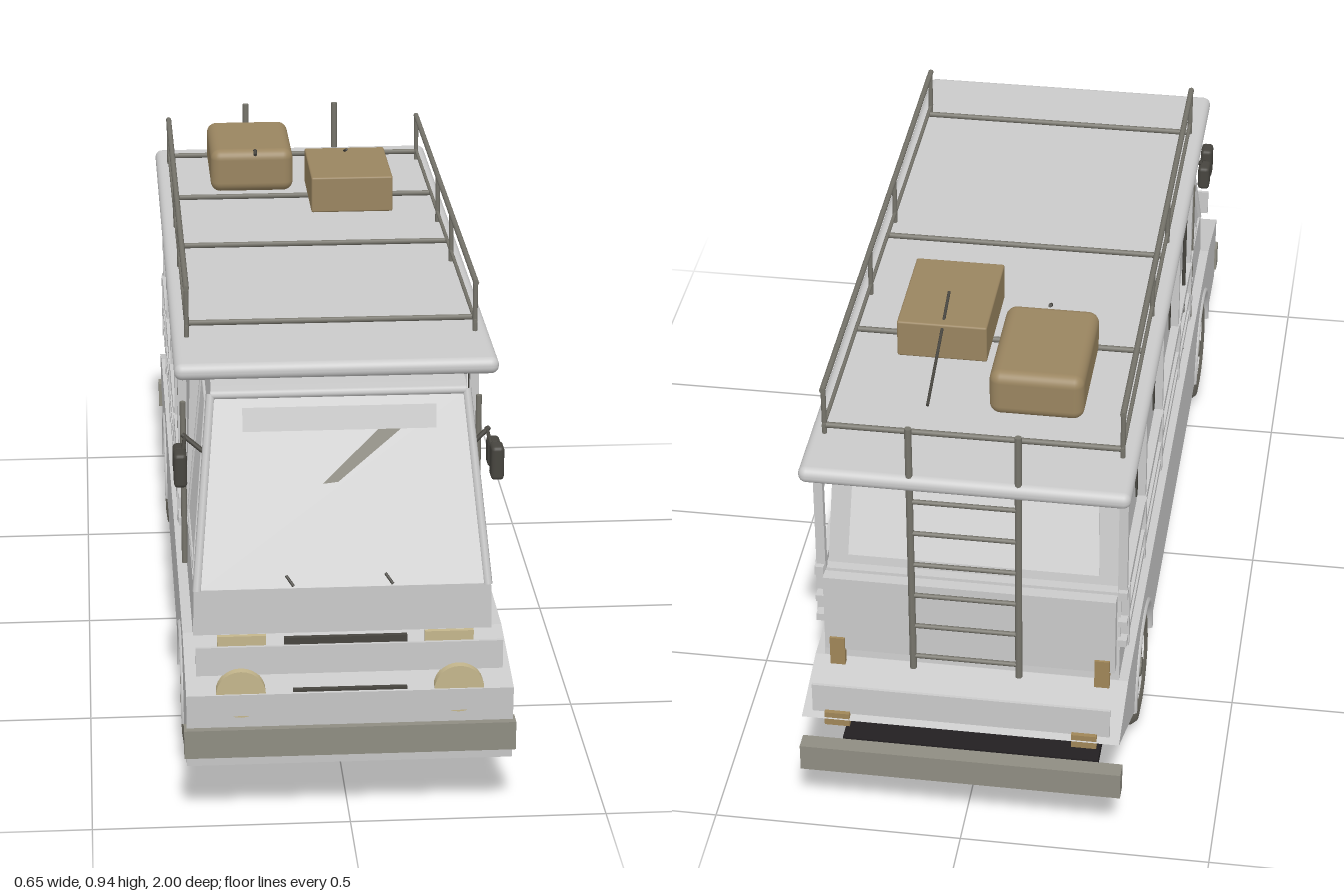
import * as THREE from 'three';
import { RoundedBoxGeometry } from 'three/addons/geometries/RoundedBoxGeometry.js';

const mat = (name, color, side = THREE.FrontSide) => {
  const m = new THREE.MeshStandardMaterial({ color, side });
  m.name = name;
  return m;
};

export function createModel() {
  const body = mat('bodyGrey', 0xcacaca), glass = mat('paleGlass', 0xdcdcdc);
  const trim = mat('bumperOlive', 0x8f8d82), metal = mat('rackMetal', 0x77756c);
  const tyre = mat('tyreGrey', 0x77746a), dark = mat('darkTrim', 0x47453f);
  const black = mat('underside', 0x232022), tan = mat('luggageTan', 0x9a8560);
  const lamp = mat('lampCream', 0xc4b68c), amber = mat('amberLamp', 0xa08658);
  const bus = new THREE.Group();
  bus.name = 'bus';

  const add = (name, geo, m, parent = bus) => {
    const mesh = new THREE.Mesh(geo, m);
    mesh.name = name;
    parent.add(mesh);
    return mesh;
  };
  // Box given by its limits on each axis
  const box = (name, [x0, x1], [y0, y1], [z0, z1], m) => {
    const g = new THREE.BoxGeometry(x1 - x0, y1 - y0, z1 - z0);
    return add(name, g.translate((x0 + x1) / 2, (y0 + y1) / 2, (z0 + z1) / 2), m);
  };
  // The same box on both sides of the bus
  const pair = (name, [x0, x1], y, z, m) => {
    box(name, [x0, x1], y, z, m);
    box(name, [-x1, -x0], y, z, m);
  };
  // Round rod between two points
  const rod = (name, a, b, r, m) => {
    const p = new THREE.Vector3(...a), q = new THREE.Vector3(...b);
    const d = q.clone().sub(p);
    const mesh = add(name, new THREE.CylinderGeometry(r, r, d.length(), 8), m);
    mesh.position.copy(p).add(q).multiplyScalar(0.5);
    mesh.quaternion.setFromUnitVectors(new THREE.Vector3(0, 1, 0), d.normalize());
  };
  // Tapered block: half width, front z and rear z at the bottom and the top
  const tapered = (name, y0, y1, bottom, top, m) => {
    const g = new THREE.BoxGeometry(2, 1, 2), p = g.attributes.position;
    for (let i = 0; i < p.count; i++) {
      const [x, front, rear] = p.getY(i) > 0 ? top : bottom;
      p.setXYZ(i, p.getX(i) * x, p.getY(i) > 0 ? y1 : y0, p.getZ(i) > 0 ? front : rear);
    }
    g.computeVertexNormals();
    return add(name, g, m);
  };

  // Lower hull with wheel arches
  const side = new THREE.Shape();
  side.moveTo(-0.99, 0.125);
  for (const z of [-0.56, 0.645]) side.absarc(z, 0.12, 0.138, Math.PI, 0, true);
  side.lineTo(0.98, 0.12);
  side.lineTo(0.99, 0.272);
  side.lineTo(0.78, 0.312);
  side.lineTo(-0.84, 0.312);
  side.lineTo(-0.99, 0.272);
  const hull = new THREE.ExtrudeGeometry(side, { depth: 0.63, bevelEnabled: false, curveSegments: 24 });
  add('hull', hull.rotateY(-Math.PI / 2).translate(0.315, 0, 0), body);
  box('chassis', [-0.26, 0.26], [0.105, 0.125], [-0.87, 0.92], black);
  box('axleTunnel', [-0.19, 0.19], [0.12, 0.28], [-0.8, 0.9], black);
  box('underTray', [-0.21, 0.21], [0.085, 0.106], [-0.35, 0.3], black);
  pair('mudFlap', [0.2, 0.3], [0.04, 0.12], [0.247, 0.253], dark);

  // Bumpers and end panels
  box('frontBumper', [-0.32, 0.32], [0.145, 0.203], [0.965, 1], trim);
  box('rearBumper', [-0.32, 0.32], [0.145, 0.203], [-1, -0.965], trim);
  box('frontPanel', [-0.295, 0.295], [0.305, 0.363], [0.963, 0.97], body);
  box('rearPanel', [-0.295, 0.295], [0.28, 0.345], [-0.978, -0.972], body);
  box('grille', [-0.12, 0.12], [0.295, 0.335], [0.86, 0.87], dark);
  box('grilleSlot', [-0.11, 0.11], [0.272, 0.278], [0.975, 0.985], dark);
  pair('frontMarker', [0.155, 0.25], [0.3, 0.34], [0.858, 0.868], lamp);
  pair('rearLamp', [0.25, 0.28], [0.31, 0.375], [-0.865, -0.85], amber);
  pair('rearReflector', [0.22, 0.27], [0.255, 0.285], [-0.987, -0.975], amber);
  for (const x of [-0.21, 0.21]) {
    const g = new THREE.CylinderGeometry(0.048, 0.048, 0.02, 28).rotateX(Math.PI / 2);
    add('headlight', g.translate(x, 0.271, 0.977), lamp);
  }

  // Cab with sloped windscreen
  tapered('cabBase', 0.3, 0.405, [0.295, 0.79, 0.38], [0.292, 0.79, 0.38], body);
  tapered('cabUpper', 0.4, 0.785, [0.288, 0.785, 0.38], [0.25, 0.665, 0.38], body);
  const screenZ = y => 0.788 - (y - 0.4) * 0.3125;
  const onScreen = (name, pts, m, lift) => {
    const g = new THREE.ShapeGeometry(new THREE.Shape(pts.map(p => new THREE.Vector2(...p))));
    const p = g.attributes.position;
    for (let i = 0; i < p.count; i++) p.setZ(i, screenZ(p.getY(i)) + lift);
    g.computeVertexNormals();
    add(name, g, m);
  };
  onScreen('windscreen', [[-0.28, 0.405], [0.28, 0.405], [0.245, 0.765], [-0.245, 0.765]], glass, 0.003);
  onScreen('sunVisor', [[-0.19, 0.7], [0.19, 0.7], [0.19, 0.745], [-0.19, 0.745]], body, 0.006);
  onScreen('mirrorStrip', [[-0.035, 0.6], [-0.005, 0.603], [0.12, 0.7], [0.075, 0.7]], trim, 0.006);
  rod('screenHeader', [-0.25, 0.768, 0.672], [0.25, 0.768, 0.672], 0.009, body);
  for (const x of [-0.105, 0.09]) {
    rod('wiper', [x - 0.006, 0.43, screenZ(0.43) + 0.006], [x + 0.008, 0.412, screenZ(0.412) + 0.012], 0.003, dark);
  }
  for (const s of [-1, 1]) {
    rod('screenPillar', [s * 0.286, 0.402, 0.787], [s * 0.251, 0.77, 0.672], 0.009, body);
    // Cab side window and its surround
    const at = (z, y) => [s * (0.29 - (y - 0.4) * 0.0987), y, z];
    const corners = [[0.71, 0.42], [0.59, 0.725], [0.405, 0.73], [0.405, 0.42]];
    const pane = new THREE.BufferGeometry();
    pane.setAttribute('position', new THREE.Float32BufferAttribute(corners.flatMap(c => at(...c)), 3));
    pane.setIndex(s > 0 ? [0, 2, 1, 0, 3, 2] : [0, 1, 2, 0, 2, 3]);
    pane.computeVertexNormals();
    add('cabSideWindow', pane, glass);
    corners.forEach((c, i) => rod('cabWindowFrame', at(...c), at(...corners[(i + 1) % 4]), 0.004, body));
    // Grab handles by the door
    rod('doorHandle', [s * 0.3, 0.33, 0.465], [s * 0.3, 0.68, 0.465], 0.006, metal);
    rod('grabRail', [s * 0.302, 0.36, 0.285], [s * 0.302, 0.7, 0.285], 0.004, dark);
    // Mirrors
    rod('mirrorArm', [s * 0.255, 0.63, 0.64], [s * 0.305, 0.66, 0.6], 0.005, dark);
    rod('mirrorArm', [s * 0.3, 0.66, 0.6], [s * 0.31, 0.62, 0.68], 0.004, dark);
    for (const [z, y, h] of [[0.68, 0.62, 0.07], [0.62, 0.617, 0.055]]) {
      add('mirror', new RoundedBoxGeometry(0.026, h, 0.042, 2, 0.008).translate(s * 0.312, y, z), dark);
    }
  }

  // Passenger cabin
  tapered('cabinBase', 0.3, 0.515, [0.296, 0.4, -0.84], [0.296, 0.4, -0.82], body);
  tapered('cabinUpper', 0.51, 0.79, [0.29, 0.4, -0.8], [0.28, 0.4, -0.745], body);
  tapered('rearWindow', 0.535, 0.76, [0.25, -0.7, -0.798], [0.24, -0.7, -0.754], glass);
  box('tailPanel', [-0.29, 0.29], [0.345, 0.52], [-0.86, -0.835], body);
  for (const z of [0.385, 0.125, -0.195, -0.505, -0.82]) {
    pair('sidePost', [0.29, 0.308], [0.515, 0.79], [z - 0.009, z + 0.009], body);
  }
  for (const z of [0.37, 0.13, -0.215, -0.525, -0.81]) {
    pair('railPost', [0.295, 0.312], [0.385, 0.53], [z - 0.008, z + 0.008], body);
  }
  for (const [y, h] of [[0.52, 0.02], [0.452, 0.014], [0.405, 0.016]]) {
    pair('sideRail', [0.292, 0.31], [y - h / 2, y + h / 2], [-0.84, 0.43], body);
  }
  pair('windowHead', [0.275, 0.292], [0.755, 0.775], [-0.8, 0.4], body);
  for (const z of [0.1, -0.21, -0.52]) {
    pair('curtain', [0.286, 0.292], [0.535, 0.745], [z - 0.008, z + 0.006], dark);
  }
  for (const [z0, z1] of [[-0.16, 0], [-0.49, -0.25], [-0.74, -0.56], [0.15, 0.33]]) {
    pair('sideSlot', [0.295, 0.299], [0.424, 0.434], [z0, z1], dark);
  }

  // Roof
  add('roof', new RoundedBoxGeometry(0.64, 0.034, 1.55, 4, 0.016).translate(0, 0.799, -0.14), body);

  // Roof rack
  for (const x of [-0.29, 0.29]) {
    rod('rackRail', [x, 0.92, 0.47], [x, 0.92, -0.795], 0.006, metal);
    rod('rackFootRail', [x, 0.838, 0.47], [x, 0.838, -0.795], 0.004, metal);
    for (const z of [0.46, 0, -0.285, -0.785]) rod('rackPost', [x, 0.81, z], [x, 0.922, z], 0.005, metal);
  }
  for (const z of [0.43, -0.085, -0.445, -0.785]) {
    rod('rackCrossbar', [-0.29, 0.835, z], [0.29, 0.835, z], 0.006, metal);
  }

  // Luggage
  add('roundedSuitcase', new RoundedBoxGeometry(0.185, 0.097, 0.26, 4, 0.022).translate(-0.112, 0.888, -0.588), tan);
  add('boxSuitcase', new RoundedBoxGeometry(0.18, 0.08, 0.24, 2, 0.004).translate(0.101, 0.879, -0.415), tan);
  rod('strapRod', [0.1, 0.94, -0.445], [0.1, 0.85, -0.715], 0.003, dark);
  rod('suitcaseHandle', [-0.105, 0.937, -0.462], [-0.105, 0.93, -0.448], 0.004, dark);

  // Rear ladder
  for (const x of [-0.105, 0.105]) rod('ladderSide', [x, 0.35, -0.902], [x, 0.925, -0.902], 0.007, metal);
  for (let i = 0; i < 6; i++) {
    const y = 0.38 + i * 0.075;
    rod('ladderRung', [-0.105, y, -0.902], [0.105, y, -0.902], 0.005, metal);
  }

  // Wheels: lathe tyre, rim, hub and a ring of bolts
  const wheel = (s, x, z, r, w) => {
    const g = new THREE.Group();
    g.name = 'wheel';
    const profile = [[0.58, -0.42], [0.72, -0.5], [0.9, -0.46], [0.98, -0.3], [1, 0], [0.98, 0.3], [0.9, 0.46], [0.72, 0.5], [0.58, 0.42]]
      .map(([a, b]) => new THREE.Vector2(a * r, b * w));
    add('tyre', new THREE.LatheGeometry(profile, 32), tyre, g);
    add('rim', new THREE.CylinderGeometry(r * 0.6, r * 0.6, w * 0.7, 28), dark, g);
    add('hub', new THREE.CylinderGeometry(r * 0.16, r * 0.2, w * 0.95, 14), metal, g);
    for (let i = 0; i < 8; i++) {
      const a = i * Math.PI / 4;
      const bolt = new THREE.CylinderGeometry(r * 0.09, r * 0.09, w * 0.78, 8);
      add('bolt', bolt.translate(Math.cos(a) * r * 0.4, 0, Math.sin(a) * r * 0.4), metal, g);
    }
    g.rotation.z = -s * Math.PI / 2;
    g.position.set(s * x, r, z);
    bus.add(g);
  };
  for (const s of [-1, 1]) {
    for (const z of [0.645, -0.56]) {
      wheel(s, 0.278, z, 0.124, 0.075);
      const arch = new THREE.TorusGeometry(0.142, 0.008, 6, 28, Math.PI).rotateY(Math.PI / 2);
      add('wheelArch', arch.translate(s * 0.313, 0.12, z), body);
    }
    for (const z of [0.455, 0.39, -0.385, -0.45]) wheel(s, 0.222, z, 0.116, 0.05);
  }
  return bus;
}
